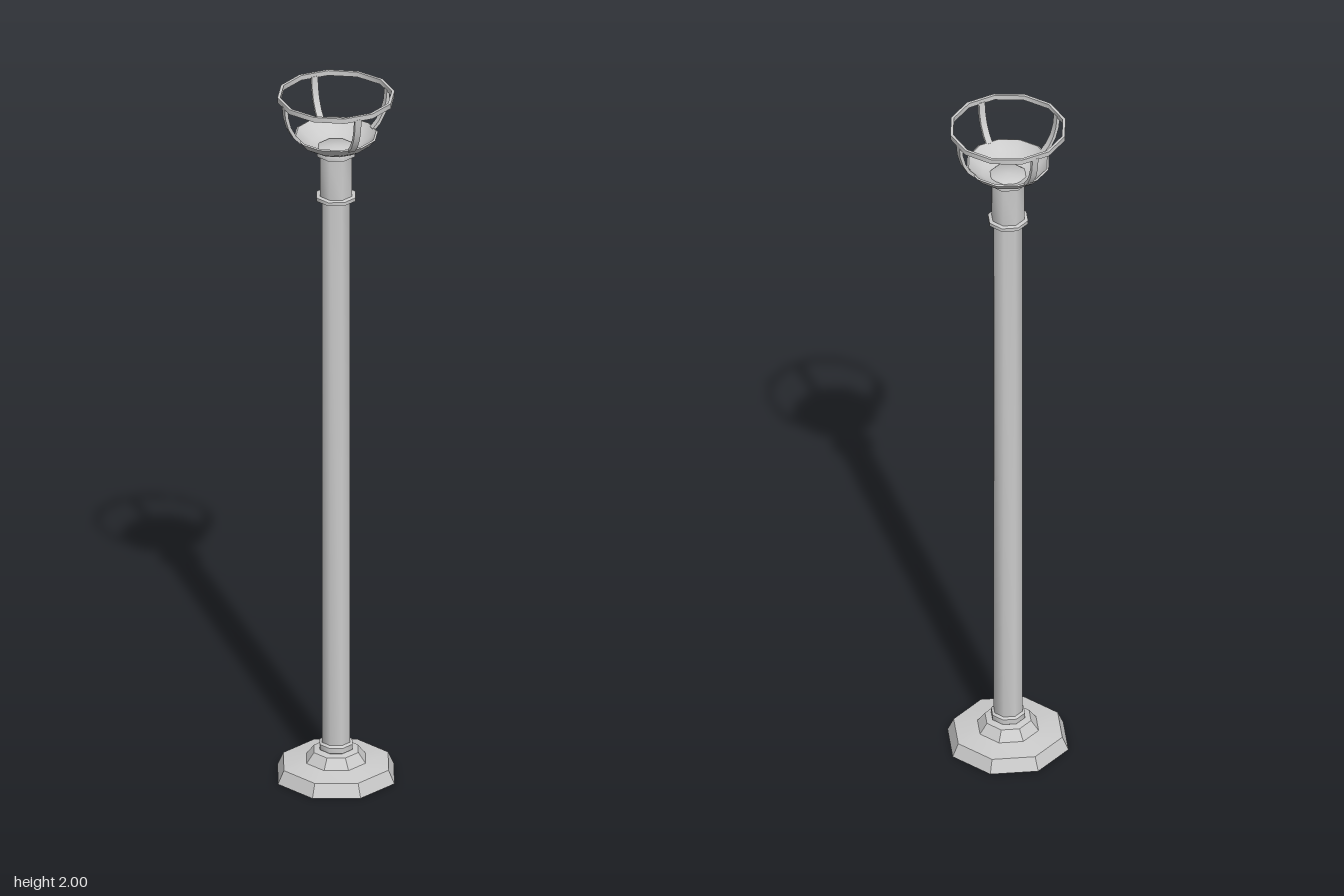
import * as THREE from 'three';
import { toCreasedNormals } from 'three/addons/utils/BufferGeometryUtils.js';

const material = new THREE.MeshStandardMaterial({ color: 0xcccccc, side: THREE.DoubleSide });

// Revolve a [radius, height] profile; edges sharper than the crease angle stay hard
function turned(name, profile, sides, start = 0, crease = 0.9) {
  const points = profile.map(([r, y]) => new THREE.Vector2(r, y));
  const geometry = toCreasedNormals(new THREE.LatheGeometry(points, sides, start), crease);
  const mesh = new THREE.Mesh(geometry, material);
  mesh.name = name;
  return mesh;
}

export function createModel() {
  const group = new THREE.Group();
  group.name = 'post';

  // Hollow faceted foot, open underneath
  group.add(turned('base', [
    [0.168, 0], [0.151, 0.037], [0.085, 0.046], [0.064, 0.074], [0.042, 0.078],
  ], 8, 0, 0.2));

  // Collar where the pole meets the foot
  group.add(turned('baseCollar', [
    [0.04, 0.075], [0.047, 0.08], [0.047, 0.095], [0.04, 0.1],
  ], 8));

  // Long pole
  group.add(turned('pole', [[0, 0.075], [0.04, 0.075], [0.04, 1.7]], 8));

  // Sleeve at the head of the pole, with a band at each end
  group.add(turned('sleeve', [[0.04, 1.7], [0.046, 1.7], [0.046, 1.83]], 8));
  group.add(turned('lowerBand', [
    [0.04, 1.695], [0.056, 1.695], [0.056, 1.705], [0.045, 1.708],
  ], 8));
  group.add(turned('upperBand', [
    [0.045, 1.822], [0.055, 1.826], [0.055, 1.842], [0.046, 1.85], [0, 1.85],
  ], 8));

  // Twelve-sided dish, with flats facing the four axes
  const turn = Math.PI / 12;
  group.add(turned('bowl', [
    [0.048, 1.842], [0.072, 1.848], [0.095, 1.862], [0.113, 1.883],
    [0.108, 1.885], [0.091, 1.867], [0.07, 1.853], [0.048, 1.846],
  ], 12, turn));

  // Thin hoop above the dish
  group.add(turned('hoop', [
    [0.15, 1.986], [0.158, 1.986], [0.158, 2], [0.15, 2], [0.15, 1.986],
  ], 12, turn));

  // Four curved struts between dish and hoop
  const outer = [[0.107, 1.876], [0.126, 1.896], [0.141, 1.924], [0.15, 1.956], [0.153, 1.99]];
  const inner = [[0.144, 1.99], [0.141, 1.958], [0.133, 1.928], [0.119, 1.902], [0.102, 1.883]];
  const section = new THREE.Shape([...outer, ...inner].map(([x, y]) => new THREE.Vector2(x, y)));
  const strut = new THREE.ExtrudeGeometry(section, { depth: 0.018, bevelEnabled: false });
  strut.translate(0, 0, -0.009);
  const strutGeometry = toCreasedNormals(strut, 0.6);
  for (let i = 0; i < 4; i++) {
    const mesh = new THREE.Mesh(strutGeometry, material);
    mesh.name = 'strut';
    mesh.rotation.y = i * Math.PI / 2;
    group.add(mesh);
  }
  return group;
}
